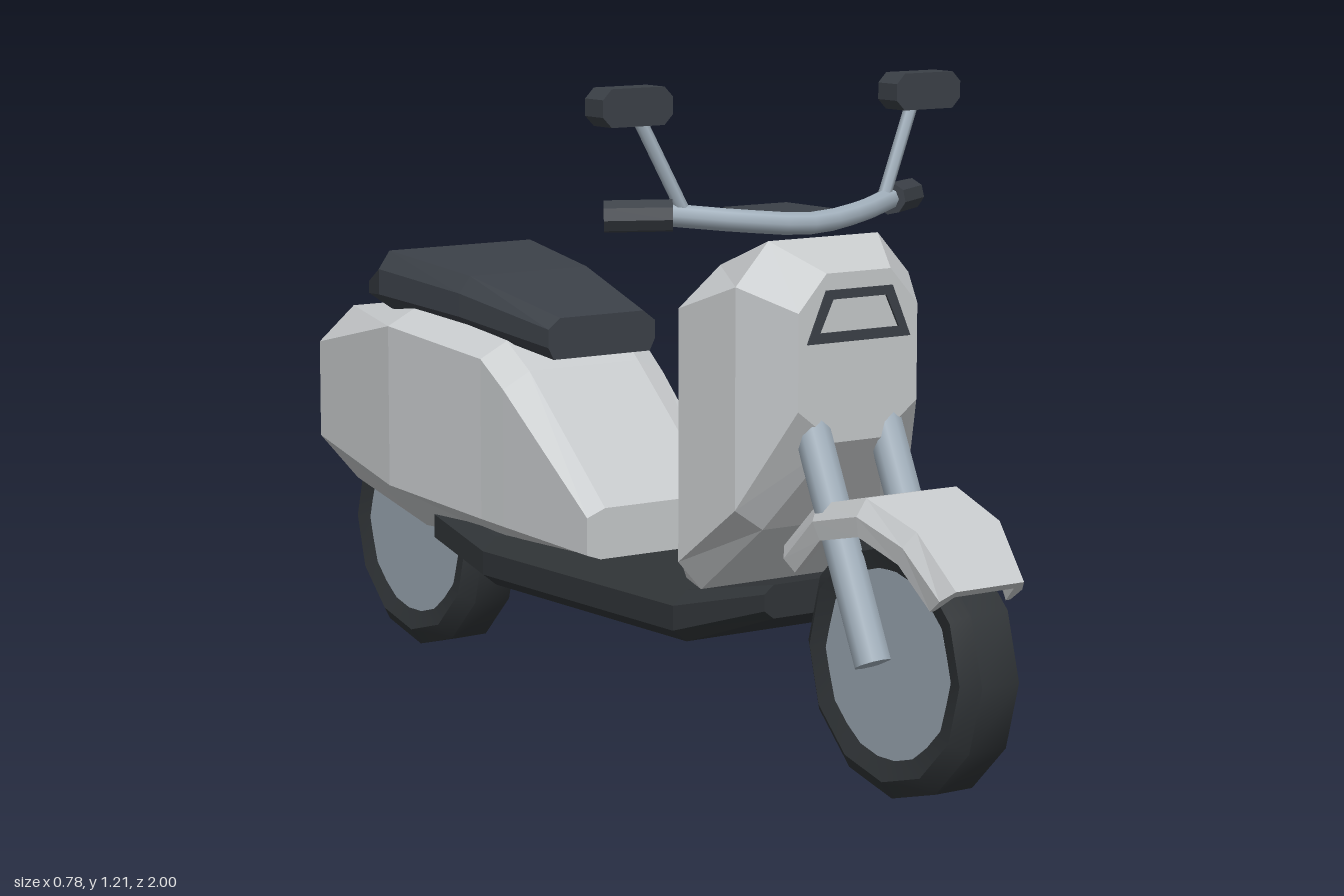
import * as THREE from 'three';
import { toCreasedNormals } from 'three/addons/utils/BufferGeometryUtils.js';

const mat = (name, color, extra = {}) => {
  const m = new THREE.MeshStandardMaterial({ color, ...extra });
  m.name = name;
  return m;
};

// Closed shell through mirrored cross-sections, ordered front to back.
// Each section is half an outline, [x, y, z] points from top to bottom on the +x side.
function loft(sections) {
  const rings = sections.map(half => [
    ...half, ...[...half].reverse().map(([x, y, z]) => [-x, y, z])]);
  const n = rings[0].length, out = [];
  const tri = (...pts) => pts.forEach(p => out.push(...p));
  for (let i = 0; i < rings.length - 1; i++) {
    const A = rings[i], B = rings[i + 1];
    for (let j = 0; j < n; j++) {
      const k = (j + 1) % n;
      tri(A[j], A[k], B[k]);
      tri(A[j], B[k], B[j]);
    }
  }
  const cap = (ring, facing) => {
    const flat = ring.map(p => new THREE.Vector2(p[0], p[1]));
    for (const [a, b, c] of THREE.ShapeUtils.triangulateShape(flat, [])) {
      const [p, q, r] = [ring[a], ring[b], ring[c]];
      const area = (q[0] - p[0]) * (r[1] - p[1]) - (q[1] - p[1]) * (r[0] - p[0]);
      area * facing > 0 ? tri(p, q, r) : tri(p, r, q);
    }
  };
  cap(rings[0], 1);
  cap(rings[rings.length - 1], -1);
  const g = new THREE.BufferGeometry();
  g.setAttribute('position', new THREE.Float32BufferAttribute(out, 3));
  g.computeVertexNormals();
  return g;
}

// Loft from rows of [z, x0, y0, x1, y1, ...]
const loftRows = rows => loft(rows.map(([z, ...v]) => {
  const half = [];
  for (let i = 0; i < v.length; i += 2) half.push([v[i], v[i + 1], z]);
  return half;
}));

// Cylinder between two points
function rod(a, b, radius, sides) {
  const A = new THREE.Vector3(...a), B = new THREE.Vector3(...b);
  const dir = B.clone().sub(A);
  const g = new THREE.CylinderGeometry(radius, radius, dir.length(), sides);
  g.applyQuaternion(new THREE.Quaternion().setFromUnitVectors(
    new THREE.Vector3(0, 1, 0), dir.normalize()));
  const m = A.add(B).multiplyScalar(0.5);
  return g.translate(m.x, m.y, m.z);
}

const polygon = pts => new THREE.Shape(pts.map(p => new THREE.Vector2(...p)));
const plate = (shape, depth) => new THREE.ExtrudeGeometry(shape, { depth, bevelEnabled: false });

export function createModel() {
  const root = new THREE.Group();
  root.name = 'scooter';
  const paint = mat('body grey', 0xc6c9cb);
  const dark = mat('dark plastic', 0x3b4047);
  const rubber = mat('tyre rubber', 0x303437);
  const metal = mat('fork metal', 0xa2b0bc);
  const rim = mat('wheel disc', 0x98a3ae);
  const red = mat('tail light red', 0xb01f35);
  const add = (name, geometry, material, parent = root) => {
    const m = new THREE.Mesh(geometry, material);
    m.name = name;
    parent.add(m);
    return m;
  };

  // Wheels
  const tyreProfile = [[0.16, -0.05], [0.205, -0.0625], [0.237, -0.04],
    [0.237, 0.04], [0.205, 0.0625], [0.16, 0.05]].map(p => new THREE.Vector2(...p));
  const tyre = toCreasedNormals(
    new THREE.LatheGeometry(tyreProfile, 12).rotateZ(Math.PI / 2), 0.6);
  const disc = new THREE.CylinderGeometry(0.173, 0.173, 0.106, 10).rotateZ(Math.PI / 2);
  for (const [name, z] of [['frontWheel', 0.763], ['rearWheel', -0.763]]) {
    const wheel = new THREE.Group();
    wheel.name = name;
    wheel.position.set(0, 0.237, z);
    add(name + 'Tyre', tyre, rubber, wheel);
    add(name + 'Disc', disc, rim, wheel);
    root.add(wheel);
  }

  // Front fender: a folded strip following the wheel
  const fenderPath = [[0.97, 0.4, 0.09], [0.885, 0.49, 0.11], [0.76, 0.53, 0.12],
    [0.625, 0.5, 0.12], [0.52, 0.41, 0.11]];
  const fenderHalf = [[0.82, 0], [1, 0.03], [0.97, 0.065], [0.86, 0.065], [0.72, 0.02]];
  add('frontFender', loft(fenderPath.map(([z, y, w]) => {
    const d = new THREE.Vector2(z - 0.763, y - 0.237).normalize();
    return fenderHalf.map(([k, depth]) => [k * w, y - d.y * depth, z - d.x * depth]);
  })), paint);

  // Front shield
  add('frontShield', loftRows([
    [0.61, 0.07, 0.895, 0.13, 0.83, 0.13, 0.66, 0.05, 0.6],
    [0.51, 0.12, 0.945, 0.19, 0.87, 0.19, 0.48, 0.13, 0.44],
    [0.37, 0.12, 0.89, 0.21, 0.82, 0.21, 0.37, 0.16, 0.315],
    [0.27, 0.07, 0.61, 0.12, 0.56, 0.13, 0.34, 0.12, 0.315],
  ]), paint);

  // Trim frame on the shield
  const trim = polygon([[-0.112, 0.775], [0.112, 0.775], [0.072, 0.866], [-0.072, 0.866]]);
  trim.holes.push(polygon([[-0.086, 0.793], [-0.058, 0.85], [0.058, 0.85], [0.086, 0.793]]));
  add('shieldTrim', plate(trim, 0.006).translate(0, 0, 0.608), dark);

  // Floorboard
  add('floorboard', loftRows([
    [0.53, 0.12, 0.345, 0.14, 0.33, 0.14, 0.3, 0.12, 0.285],
    [0.34, 0.17, 0.31, 0.2, 0.285, 0.2, 0.24, 0.17, 0.217],
    [-0.28, 0.17, 0.31, 0.2, 0.285, 0.2, 0.24, 0.17, 0.217],
    [-0.5, 0.14, 0.345, 0.17, 0.32, 0.17, 0.275, 0.14, 0.255],
  ]), rubber);

  // Rear body
  add('rearBody', loftRows([
    [0.02, 0.125, 0.405, 0.165, 0.39, 0.165, 0.32, 0.12, 0.305],
    [-0.23, 0.125, 0.63, 0.185, 0.6, 0.185, 0.338, 0.13, 0.3],
    [-0.3, 0.13, 0.68, 0.19, 0.65, 0.19, 0.343, 0.13, 0.295],
    [-0.575, 0.145, 0.725, 0.225, 0.685, 0.225, 0.372, 0.14, 0.284],
    [-0.87, 0.125, 0.687, 0.205, 0.62, 0.205, 0.43, 0.12, 0.335],
    [-0.986, 0.095, 0.565, 0.125, 0.53, 0.125, 0.475, 0.1, 0.455],
  ]), paint);

  // Tail light
  const lightShape = (w, y0, y1) =>
    polygon([[-w, y0], [w, y0], [w * 0.92, y1], [-w * 0.92, y1]]);
  add('tailLightFrame', plate(lightShape(0.1, 0.487, 0.563), 0.009).translate(0, 0, -0.994), dark);
  add('tailLight', plate(lightShape(0.088, 0.497, 0.55), 0.006).translate(0, 0, -0.998), red);

  // Seat
  add('seat', loftRows([
    [-0.17, 0.095, 0.735, 0.122, 0.715, 0.122, 0.68, 0.11, 0.657],
    [-0.42, 0.135, 0.792, 0.16, 0.76, 0.16, 0.715, 0.13, 0.69],
    [-0.665, 0.165, 0.82, 0.19, 0.785, 0.19, 0.735, 0.16, 0.705],
    [-0.81, 0.1, 0.757, 0.125, 0.742, 0.125, 0.718, 0.1, 0.705],
  ]), dark);

  // Handlebar
  const barPath = new THREE.CatmullRomCurve3([[-0.25, 0.988, 0.385], [-0.12, 0.974, 0.45],
    [0, 0.965, 0.472], [0.12, 0.974, 0.45], [0.25, 0.988, 0.385]]
    .map(p => new THREE.Vector3(...p)));
  add('handlebar', new THREE.TubeGeometry(barPath, 10, 0.02, 8), metal);

  // Instrument plate behind the bar
  add('instrumentPlate', loftRows([
    [0.445, 0.08, 0.979, 0.08, 0.972],
    [0.42, 0.092, 0.981, 0.092, 0.974],
    [0.31, 0.07, 0.984, 0.07, 0.977],
  ]), dark);

  // Paired parts: fork legs, grips, mirrors
  const corner = 0.018, mw = 0.073, mh = 0.033;
  const mirrorShape = polygon([[-mw + corner, -mh], [mw - corner, -mh], [mw, -mh + corner],
    [mw, mh - corner], [mw - corner, mh], [-mw + corner, mh], [-mw, mh - corner], [-mw, -mh + corner]]);
  for (const [side, s] of [['left', 1], ['right', -1]]) {
    add(side + 'ForkLeg', rod([s * 0.079, 0.24, 0.757], [s * 0.079, 0.65, 0.57], 0.033, 10), metal);
    add(side + 'Grip', toCreasedNormals(
      rod([s * 0.24, 0.987, 0.395], [s * 0.338, 0.985, 0.327], 0.029, 8), 0.6), dark);
    add(side + 'MirrorStem', rod([s * 0.222, 0.995, 0.4], [s * 0.305, 1.165, 0.378], 0.012, 6), metal);
    add(side + 'Mirror', plate(mirrorShape, 0.054).translate(s * 0.319, 1.178, 0.35), dark);
  }
  return root;
}
